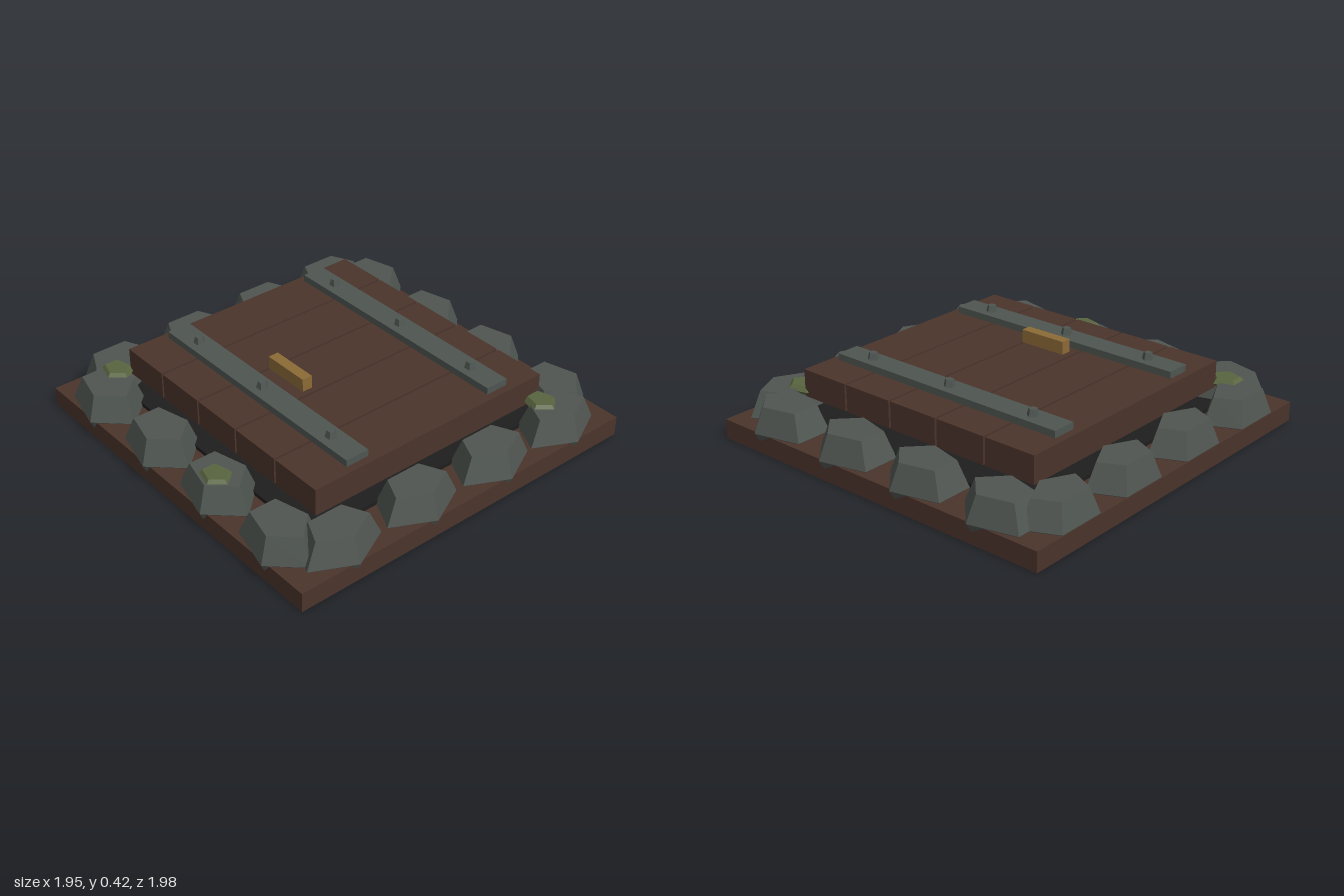
import * as THREE from 'three';

const mat = (name, color) => Object.assign(new THREE.MeshStandardMaterial({ color }), { name });

export function createModel() {
  const root = new THREE.Group();
  root.name = 'cellarHatch';
  const wood = mat('darkWood', 0x4a342b);
  const stone = mat('stoneGrey', 0x4f5551);
  const iron = mat('ironGrey', 0x4e5551);
  const pit = mat('pitBlack', 0x1e1e1e);
  const moss = mat('mossGreen', 0x58653f);
  const brass = mat('brass', 0x8c6a36);

  const add = (name, geo, material, x, y, z) => {
    const mesh = new THREE.Mesh(geo, material);
    mesh.name = name;
    mesh.position.set(x, y, z);
    root.add(mesh);
    return mesh;
  };
  // Box given by its limits on each axis
  const box = (name, material, [x0, x1], [y0, y1], [z0, z1]) =>
    add(name, new THREE.BoxGeometry(x1 - x0, y1 - y0, z1 - z0), material,
      (x0 + x1) / 2, (y0 + y1) / 2, (z0 + z1) / 2);

  // Five-sided faceted lump, widest at the middle, with one corner toward +x
  const lump = (rx, rz, below, above, ratio) => {
    const profile = [[0, -below], [ratio, -below], [1, 0], [ratio, above], [0, above]]
      .map(([r, y]) => new THREE.Vector2(r, y));
    const geo = new THREE.LatheGeometry(profile, 5).rotateY(Math.PI / 2).scale(rx, 1, rz).toNonIndexed();
    geo.computeVertexNormals();
    return geo;
  };

  // Base slab and dark opening
  box('base', wood, [-0.985, 0.947], [0, 0.1], [-0.975, 0.957]);
  box('pit', pit, [-0.745, 0.707], [0.1, 0.12], [-0.74, 0.715]);

  // Door planks with open seams
  for (let i = 0; i < 5; i++) {
    const x = -0.02 + (i - 2) * 0.286;
    box('plank', wood, [x - 0.137, x + 0.137], [0.2, 0.338], [-0.69, 0.672]);
  }

  // Iron straps with tapered bolts
  for (const z of [-0.443, 0.406]) {
    box('strap', iron, [-0.69, 0.65], [0.338, 0.373], [z - 0.062, z + 0.062]);
    for (const x of [-0.515, -0.02, 0.473]) {
      const bolt = new THREE.CylinderGeometry(0.021, 0.03, 0.036, 5).rotateY(Math.PI).toNonIndexed();
      bolt.computeVertexNormals();
      add('bolt', bolt, iron, x, 0.389, z);
    }
  }

  // Handle bar
  box('handle', brass, [-0.147, 0.106], [0.354, 0.42], [0.216, 0.27]);

  // Border stones: front and back rows are wide, side columns are deep
  const rowStone = lump(0.213, 0.165, 0.085, 0.127, 0.72);
  const sideStone = lump(0.15, 0.217, 0.085, 0.127, 0.72);
  for (const x of [-0.685, -0.24, 0.205, 0.645]) {
    add('backStone', rowStone, stone, x, 0.103, -0.84);
    add('frontStone', rowStone, stone, x - 0.005, 0.103, 0.825);
  }
  for (const z of [-0.685, -0.247, 0.207, 0.655]) {
    add('rightStone', sideStone, stone, -0.862, 0.103, z);
    add('leftStone', sideStone, stone, 0.815, 0.103, z);
  }

  // Moss patches on three stones
  const mossGeo = lump(0.095, 0.08, 0.02, 0.025, 0.72);
  for (const [x, z] of [[0.745, -0.65], [-0.755, 0.732], [0.222, 0.855]]) {
    add('moss', mossGeo, moss, x, 0.222, z);
  }

  return root;
}
